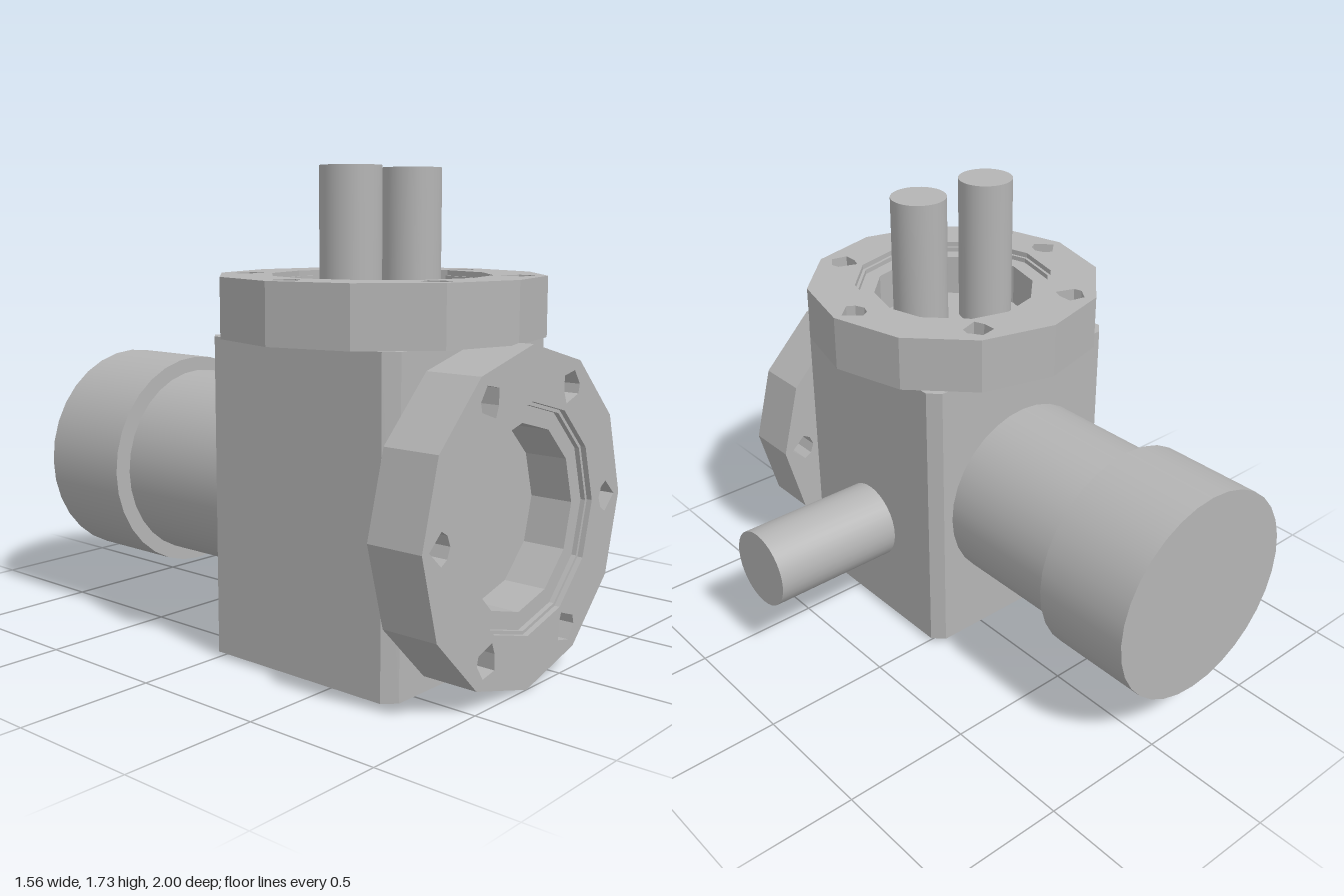
import * as THREE from 'three';

const CX = -0.205, CY = 0.582, CZ = 0.365; // flange and body axes

// Regular twelve-sided outline with a corner on the x axis
function dodecagon(r, Type = THREE.Shape) {
  const pts = [];
  for (let i = 0; i < 12; i++) {
    const a = i * Math.PI / 6;
    pts.push(new THREE.Vector2(r * Math.cos(a), r * Math.sin(a)));
  }
  return new Type(pts);
}

// Coarse bolt hole, mirrored by sx and sy
function boltHole(points, x, y, sx, sy) {
  return new THREE.Path(points.map(([px, py]) => new THREE.Vector2(sx * (x + px), sy * (y + py))));
}

export function createModel() {
  const model = new THREE.Group();
  const metal = new THREE.MeshStandardMaterial({ color: 0xb4b4b4 });
  metal.name = 'grey metal';

  const add = (parent, name, geometry) => {
    const mesh = new THREE.Mesh(geometry, metal);
    mesh.name = name;
    parent.add(mesh);
    return mesh;
  };
  const extrude = (shape, depth) => new THREE.ExtrudeGeometry(shape, { depth, bevelEnabled: false });

  // Flange facing +z, back at z = 0, with bolt holes and a stepped blind bore
  function flange(name) {
    const group = new THREE.Group();
    group.name = name;
    const plate = dodecagon(0.578);
    plate.holes.push(dodecagon(0.392, THREE.Path));
    const sideHole = [[0.055, 0], [-0.005, 0.055], [-0.035, 0.037], [-0.05, 0], [-0.035, -0.037], [-0.005, -0.055]];
    const cornerHole = [[-0.05, 0.037], [0.014, 0.05], [0.048, 0], [0.04, -0.032], [-0.035, -0.058], [-0.05, -0.018]];
    for (const sx of [1, -1]) {
      plate.holes.push(boltHole(sideHole, 0.488, 0, sx, 1));
      for (const sy of [1, -1]) plate.holes.push(boltHole(cornerHole, 0.242, 0.42, sx, sy));
    }
    add(group, 'flangePlate', extrude(plate, 0.21));
    // Steps down to the bore: outer radius, inner radius, height
    for (const [outer, inner, height] of [[0.392, 0.38, 0.19], [0.38, 0.318, 0.172]]) {
      const ring = dodecagon(outer);
      ring.holes.push(dodecagon(inner, THREE.Path));
      add(group, 'boreStep', extrude(ring, height));
    }
    add(group, 'boreFloor', extrude(dodecagon(0.318), 0.01));
    model.add(group);
    return group;
  }

  flange('frontFlange').position.set(CX, CY, 0.79);
  const top = flange('topFlange');
  top.rotation.x = -Math.PI / 2;
  top.position.set(CX, 1.152, CZ);

  // Block body with chamfered upright edges
  const w = 0.448, d = 0.416, c = 0.043;
  const outline = [[w - c, -d], [w, c - d], [w, d - c], [w - c, d], [c - w, d], [-w, d - c], [-w, c - d], [c - w, -d]];
  const body = add(model, 'body', extrude(new THREE.Shape(outline.map(([x, y]) => new THREE.Vector2(x, y))), 1.132));
  body.rotation.x = -Math.PI / 2;
  body.position.set(CX, 0.02, CZ);

  // Round pipe between two points
  function pipe(name, r, from, to) {
    const a = new THREE.Vector3(...from), b = new THREE.Vector3(...to);
    const axis = b.clone().sub(a);
    const mesh = add(model, name, new THREE.CylinderGeometry(r, r, axis.length(), 32));
    mesh.position.copy(a).add(b).multiplyScalar(0.5);
    mesh.quaternion.setFromUnitVectors(new THREE.Vector3(0, 1, 0), axis.normalize());
  }
  pipe('topPipeRight', 0.107, [-0.372, 1.155, 0.37], [-0.372, 1.733, 0.37]);
  pipe('topPipeLeft', 0.107, [-0.04, 1.155, 0.37], [-0.04, 1.733, 0.37]);
  pipe('sidePipe', 0.156, [0.2, 0.415, 0.37], [0.78, 0.415, 0.37]);
  pipe('rearBarrel', 0.364, [CX, CY, -0.03], [CX, CY, -0.587]);
  pipe('rearCap', 0.416, [CX, CY, -0.602], [CX, CY, -1]);

  return model;
}
